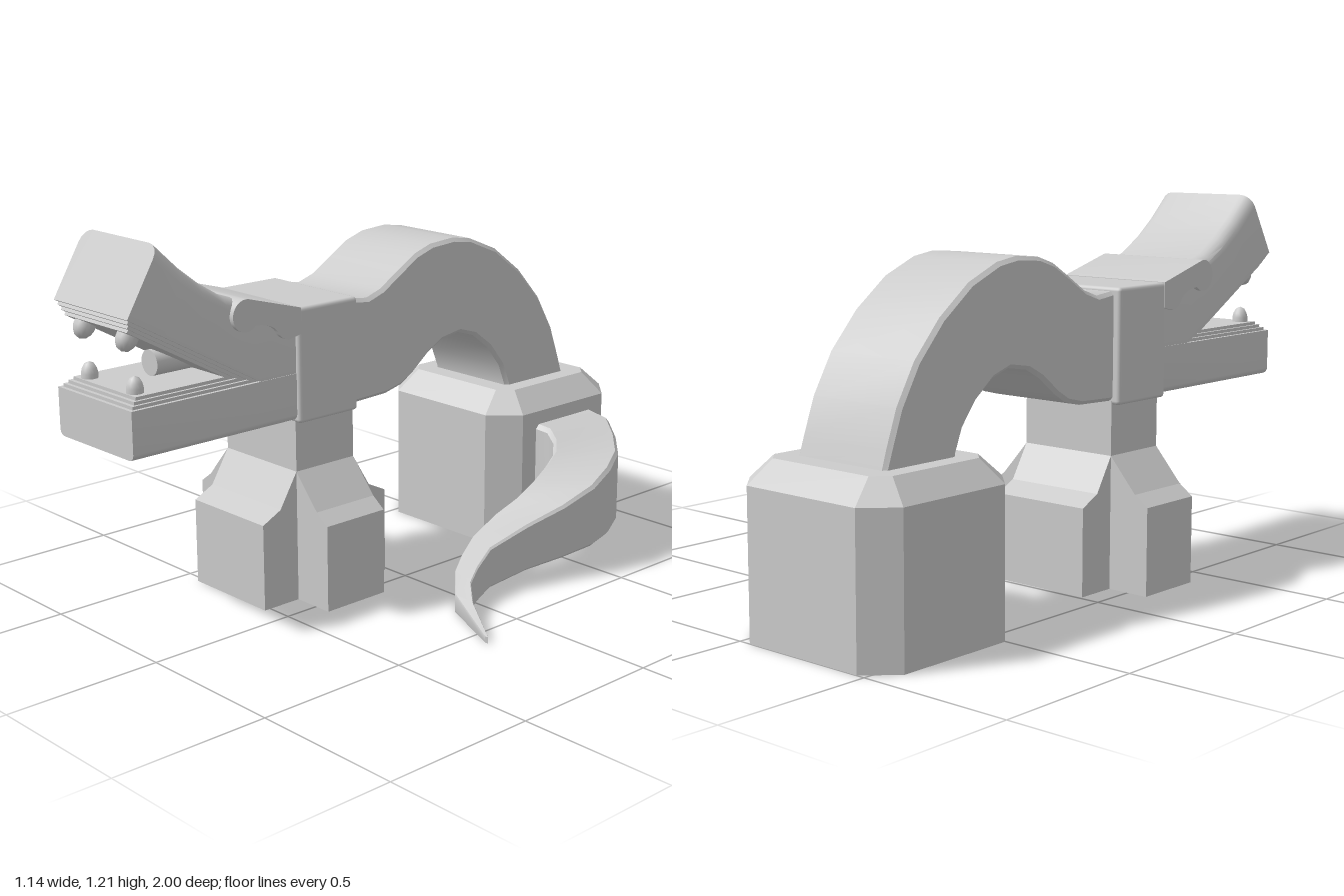
import * as THREE from 'three';
import { toCreasedNormals } from 'three/addons/utils/BufferGeometryUtils.js';
import { RoundedBoxGeometry } from 'three/addons/geometries/RoundedBoxGeometry.js';

const grey = new THREE.MeshStandardMaterial({ color: 0xcccccc });
const shell = new THREE.MeshStandardMaterial({ color: 0xcccccc, side: THREE.DoubleSide });

function part(name, geometry, parent, x = 0, y = 0, z = 0, material = grey) {
  const mesh = new THREE.Mesh(geometry, material);
  mesh.name = name;
  mesh.position.set(x, y, z);
  parent.add(mesh);
  return mesh;
}

// Skin a row of equal-length rings, each counterclockwise seen from the far end
function loft(rings, capStart, capEnd, crease = 0.5) {
  const n = rings[0].length, pos = rings.flat(2), idx = [];
  for (let r = 0; r < rings.length - 1; r++) {
    for (let i = 0; i < n; i++) {
      const a = r * n + i, b = r * n + (i + 1) % n;
      idx.push(a, b, b + n, a, b + n, a + n);
    }
  }
  const last = (rings.length - 1) * n;
  for (let i = 1; i < n - 1; i++) {
    if (capStart) idx.push(0, i + 1, i);
    if (capEnd) idx.push(last, last + i, last + i + 1);
  }
  const g = new THREE.BufferGeometry();
  g.setAttribute('position', new THREE.Float32BufferAttribute(pos, 3));
  g.setIndex(idx);
  return toCreasedNormals(g, crease);
}

// Extrude a side outline (z, y) symmetrically across x
function sideExtrude(shape, halfWidth, bevel) {
  const g = new THREE.ExtrudeGeometry(shape, {
    depth: 2 * (halfWidth - bevel), curveSegments: 10, bevelEnabled: bevel > 0,
    bevelSize: bevel, bevelThickness: bevel, bevelOffset: -bevel, bevelSegments: 1,
  });
  g.translate(0, 0, bevel - halfWidth);
  g.rotateY(-Math.PI / 2);
  return toCreasedNormals(g, 0.45);
}

// Jaw cross-section: square on the mouth side, rounded on the outer side
function jawRing(w, r, [mz, my], [oz, oy]) {
  const depth = Math.hypot(oz - mz, oy - my), pts = [[-w, 0], [w, 0]];
  for (const side of [1, -1]) {
    for (let k = 0; k <= 4; k++) {
      const a = (side > 0 ? k : 4 - k) * Math.PI / 8;
      pts.push([side * (w - r + r * Math.cos(a)), 1 - r * (1 - Math.sin(a)) / depth]);
    }
  }
  const ring = pts.map(([x, t]) => [x, my + (oy - my) * t, mz + (oz - mz) * t]);
  return oy < my ? ring.reverse() : ring;
}

// Octagon with clipped corners, at height y
const octagon = (y, w, d, c) => [[w, c - d], [w, d - c], [w - c, d], [c - w, d],
  [-w, d - c], [-w, c - d], [c - w, -d], [w - c, -d]].map(([x, v]) => [x, y, -v]);

// Plus-shaped outline with arm reaches A and B
function plus(y, A, B) {
  const a = 0.172, b = 0.118;
  return [[A, -b], [A, b], [a, b], [a, B], [-a, B], [-a, b], [-A, b], [-A, -b],
    [-a, -b], [-a, -B], [a, -B], [a, -b]].map(([x, v]) => [x, y, -v]);
}

// Stepped gum plates and two teeth, lying along +z from the jaw hinge
function mouthLining(name, parent, length, toothX, toothZ, toothR) {
  const g = new THREE.Group();
  g.name = name;
  g.position.set(0, 0.745, 0.53);
  parent.add(g);
  [0.176, 0.167, 0.158].forEach((w, i) => {
    const len = length - 0.012 * (i + 1);
    part('gumStep', new THREE.BoxGeometry(2 * w, 0.02, len), g, 0, i * 0.01, len / 2);
  });
  const profile = [[1, 0], [1, 0.35], [0.86, 0.62], [0.55, 0.88], [0, 1]]
    .map(([r, y]) => new THREE.Vector2(r * toothR, y * 0.055));
  for (const s of [1, -1]) {
    part('tooth', new THREE.LatheGeometry(profile, 16), g, s * toothX, 0.025, toothZ);
  }
  return g;
}

export function createModel() {
  const model = new THREE.Group();
  model.name = 'crawlingBeast';
  const body = new THREE.Group();
  body.name = 'body';
  body.position.x = -0.257;
  model.add(body);

  // Rear block, open underneath
  part('rearBlock', loft([octagon(0, 0.305, 0.293, 0.09), octagon(0.455, 0.305, 0.293, 0.09),
    octagon(0.525, 0.235, 0.217, 0.045)], false, true, 0.2), body, 0, 0, -0.707, shell);

  // Front foot with four arms, merging into the post
  part('frontFoot', loft([plus(0, 0.315, 0.255), plus(0.28, 0.315, 0.255), plus(0.315, 0.267, 0.185),
    plus(0.425, 0.172, 0.118), plus(0.6, 0.172, 0.118)], false, false, 0.2), body, 0, 0, 0.267, shell);

  // Arched back
  const arch = [[0.17, 0.94], [0.08, 0.93], [0.02, 0.95], [-0.06, 1.0], [-0.13, 1.042], [-0.2, 1.065],
    [-0.3, 1.072], [-0.38, 1.06], [-0.5, 1.01], [-0.62, 0.92], [-0.72, 0.81], [-0.79, 0.69],
    [-0.83, 0.58], [-0.855, 0.5], [-0.555, 0.5], [-0.575, 0.53], [-0.53, 0.6], [-0.47, 0.675],
    [-0.4, 0.728], [-0.33, 0.75], [-0.25, 0.737], [-0.19, 0.705], [-0.12, 0.65], [-0.07, 0.62],
    [0, 0.603], [0.17, 0.597]];
  arch[14] = [-0.56, 0.5];
  arch[15] = [-0.558, 0.53];
  part('archedBack', sideExtrude(new THREE.Shape(arch.map(p => new THREE.Vector2(...p))), 0.175, 0.012), body);

  // Collar over the post
  part('collar', new RoundedBoxGeometry(0.4, 0.365, 0.24, 2, 0.012), body, 0, 0.768, 0.27);

  // Head
  const head = new THREE.Group();
  head.name = 'head';
  body.add(head);
  const upper = [
    [[0.38, 0.745], [0.38, 0.947]], [[0.53, 0.745], [0.57, 0.997]], [[0.6, 0.784], [0.65, 1.025]],
    [[0.75, 0.869], [0.73, 1.075]], [[0.87, 0.937], [0.8, 1.13]], [[1, 1.01], [0.882, 1.208]],
  ];
  part('upperJaw', loft(upper.map(([m, o]) => jawRing(0.185, 0.045, m, o)), true, true), head);
  const lower = [0.38, 1].map(z => jawRing(0.187, 0.02, [z, 0.745], [z, 0.595]));
  part('lowerJaw', loft(lower, true, true), head);

  // Mouth linings: the upper one is turned over and tilted open
  mouthLining('lowerMouth', head, 0.47, 0.115, 0.405, 0.026);
  const roof = mouthLining('upperMouth', head, 0.54, 0.107, 0.46, 0.033);
  roof.rotation.set(-0.513, 0, Math.PI);
  part('throatNozzle', new THREE.CylinderGeometry(0.04, 0.04, 0.2, 24).rotateX(Math.PI / 2),
    head, 0, 0.817, 0.7);

  // Cheek plate with a round hinge end
  const cheek = new THREE.Shape();
  cheek.moveTo(0.38, 0.87);
  cheek.lineTo(0.43, 0.86);
  cheek.quadraticCurveTo(0.46, 0.868, 0.47, 0.89);
  cheek.quadraticCurveTo(0.49, 0.92, 0.555, 0.925);
  cheek.absarc(0.59, 0.96, 0.05, -Math.PI * 0.75, Math.PI * 0.55, false);
  cheek.lineTo(0.38, 0.952);
  part('cheekPlate', sideExtrude(cheek, 0.201, 0), head);

  // Tail stations: outer x, z, inner x, z, top, bottom
  const stations = [
    [0.03, -0.86, 0.03, -0.57, 0.41, 0.115], [0.15, -0.83, 0.1, -0.57, 0.405, 0.115],
    [0.25, -0.75, 0.155, -0.54, 0.385, 0.115], [0.33, -0.67, 0.19, -0.5, 0.36, 0.11],
    [0.38, -0.57, 0.21, -0.44, 0.335, 0.1], [0.4, -0.47, 0.22, -0.37, 0.3, 0.09],
    [0.38, -0.35, 0.215, -0.29, 0.255, 0.075], [0.34, -0.22, 0.19, -0.22, 0.21, 0.055],
    [0.31, -0.08, 0.19, -0.12, 0.16, 0.025], [0.33, 0, 0.21, -0.05, 0.12, 0.005],
    [0.36, 0.06, 0.25, 0.02, 0.095, 0], [0.42, 0.11, 0.33, 0.1, 0.06, 0],
    [0.57, 0.2, 0.56, 0.202, 0.02, 0],
  ];
  // Slightly clipped rectangle: s runs outer to inner, t bottom to top
  const c = 0.05;
  const section = [[c, 0], [0, c], [0, 1 - c], [c, 1], [1 - c, 1], [1, 1 - c], [1, c], [1 - c, 0]];
  const rings = stations.map(([ox, oz, ix, iz, top, bot]) => section.map(([s, t]) =>
    [ox + (ix - ox) * s, bot + (top - bot) * t, oz + (iz - oz) * s]));
  part('tail', loft(rings, true, true, 0.55), model);

  return model;
}
